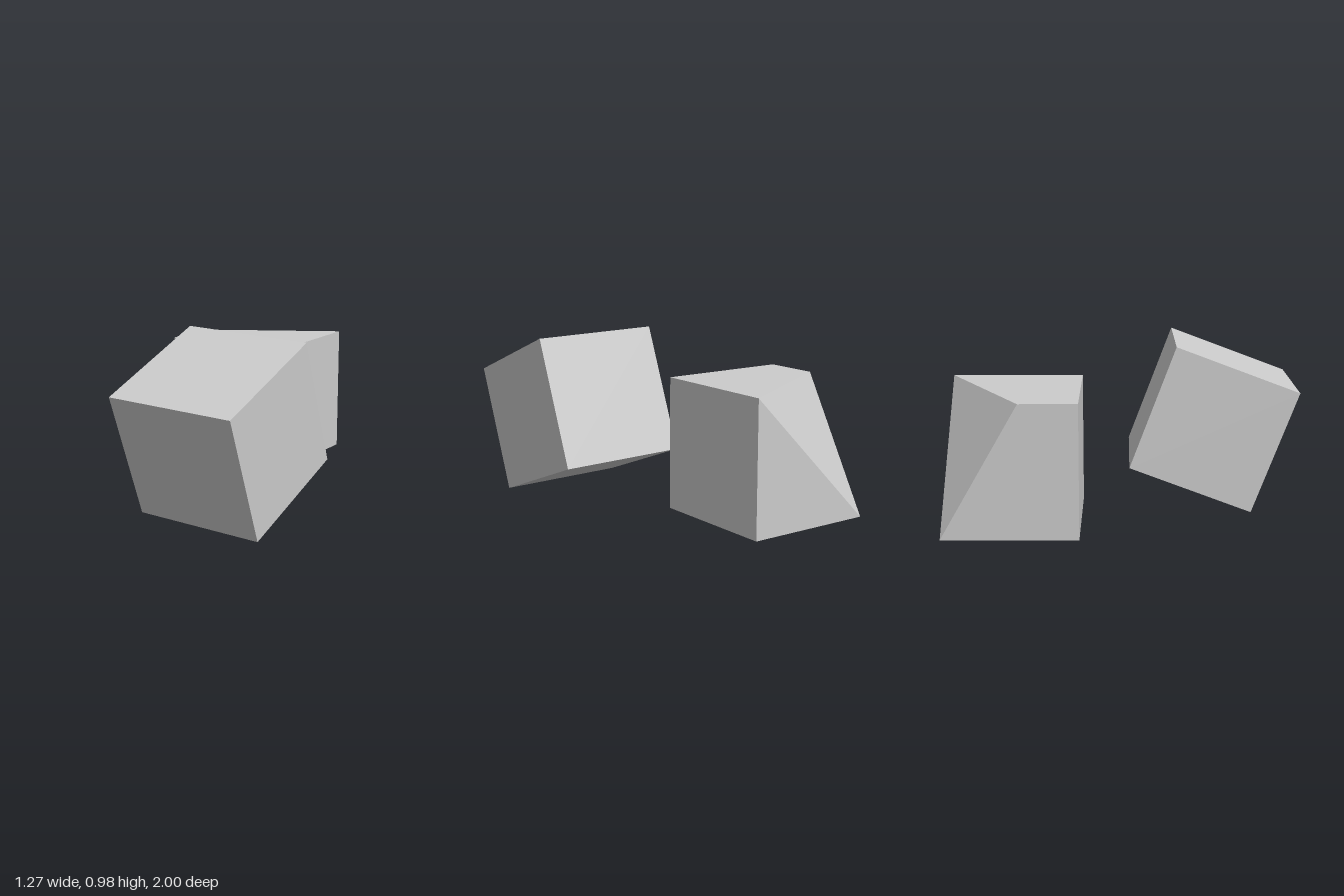
import * as THREE from 'three';
import { ConvexGeometry } from 'three/addons/geometries/ConvexGeometry.js';

const EDGE = 0.755;
const H = EDGE / 2;

export function createModel() {
  const group = new THREE.Group();
  const material = new THREE.MeshStandardMaterial({ color: 0xcccccc, flatShading: true });

  // Whole cube, tipped forward and rolled very slightly
  const tilted = new THREE.Mesh(new THREE.BoxGeometry(EDGE, EDGE, EDGE), material);
  tilted.name = 'tiltedCube';
  tilted.rotation.set(0.36, 0, -0.016, 'ZYX');
  tilted.position.set(0.25, 0.492, 0.514);
  group.add(tilted);

  // Upright cube with its top back right corner sliced off
  const points = [];
  for (const x of [-H, H]) for (const y of [-H, H]) for (const z of [-H, H]) {
    const isCutCorner = x < 0 && y > 0 && z < 0;
    // The slice meets the top side edge partway along
    points.push(new THREE.Vector3(x, y, isCutCorner ? -H + 0.435 : z));
  }
  const cut = new THREE.Mesh(new ConvexGeometry(points), material);
  cut.name = 'cutCube';
  cut.position.set(-0.261, 0.398, -1 + H);
  group.add(cut);

  return group;
}
